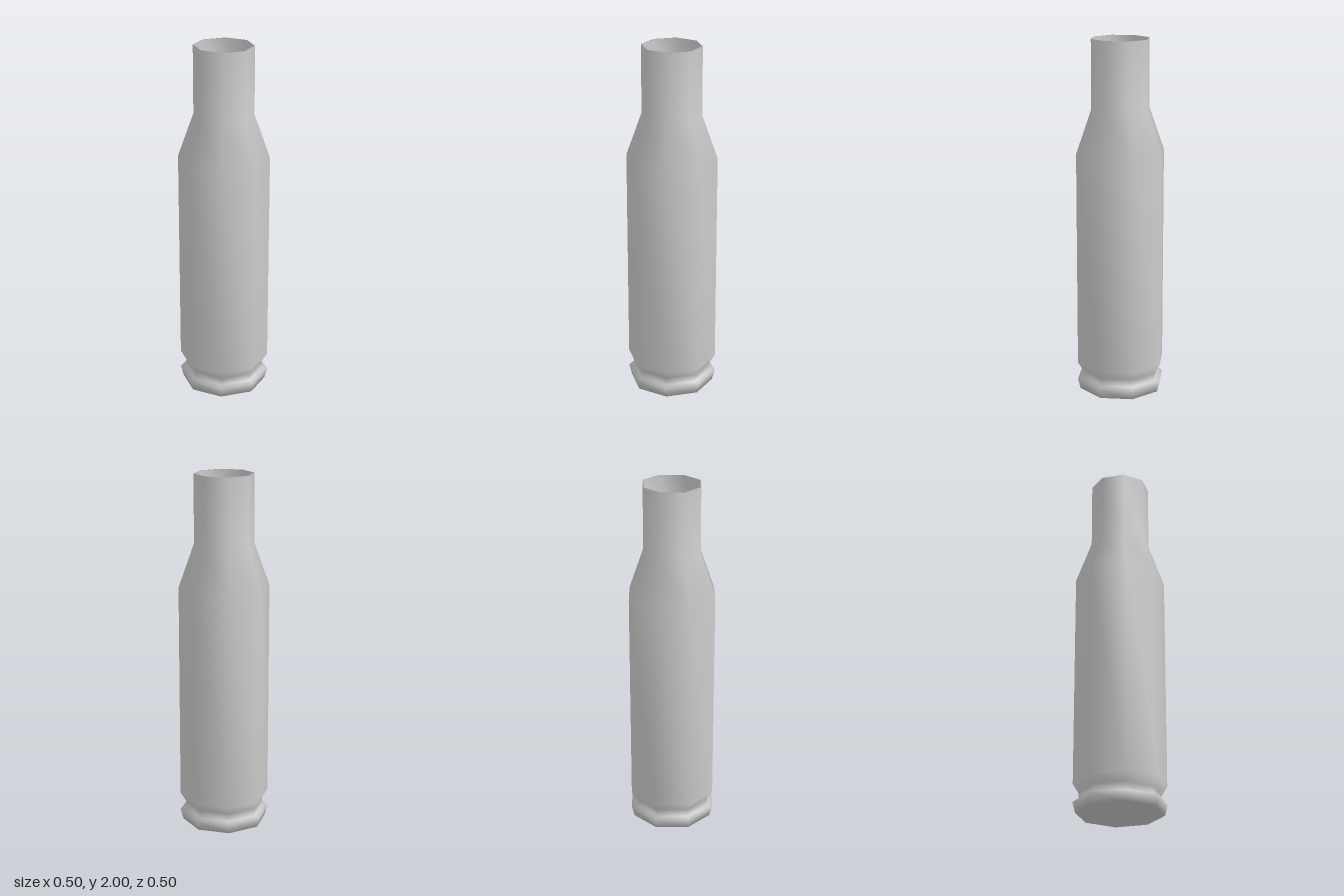
import * as THREE from 'three';
import { mergeVertices } from 'three/addons/utils/BufferGeometryUtils.js';

const SIDES = 8;
const TURN = Math.PI / 16; // the octagon is twisted 11.25 degrees

// Lathe with welded seam and fully smooth, area-weighted normals
function smoothLathe(profile) {
  const points = profile.map(([r, y]) => new THREE.Vector2(r, y));
  const lathe = new THREE.LatheGeometry(points, SIDES, TURN);
  lathe.deleteAttribute('uv');
  lathe.deleteAttribute('normal');
  const geometry = mergeVertices(lathe, 1e-4);
  geometry.computeVertexNormals();
  return geometry;
}

export function createModel() {
  const group = new THREE.Group();
  group.name = 'cartridgeCase';

  // One continuous skin, from the centre of the base to the inside of the neck
  const profile = [
    [0, 0],
    [0.238, 0],      // base
    [0.254, 0.06],   // rim
    [0.222, 0.065],  // extractor groove
    [0.222, 0.11],
    [0.253, 0.16],   // body
    [0.253, 1.375],  // shoulder
    [0.166, 1.62],   // neck
    [0.166, 2],      // mouth
    [0.158, 2],
    [0.158, 1.62],   // inner wall and floor
    [0, 1.62],
  ];
  const shell = new THREE.Mesh(
    smoothLathe(profile),
    new THREE.MeshStandardMaterial({ color: 0xcccccc })
  );
  shell.name = 'caseShell';
  group.add(shell);

  return group;
}
